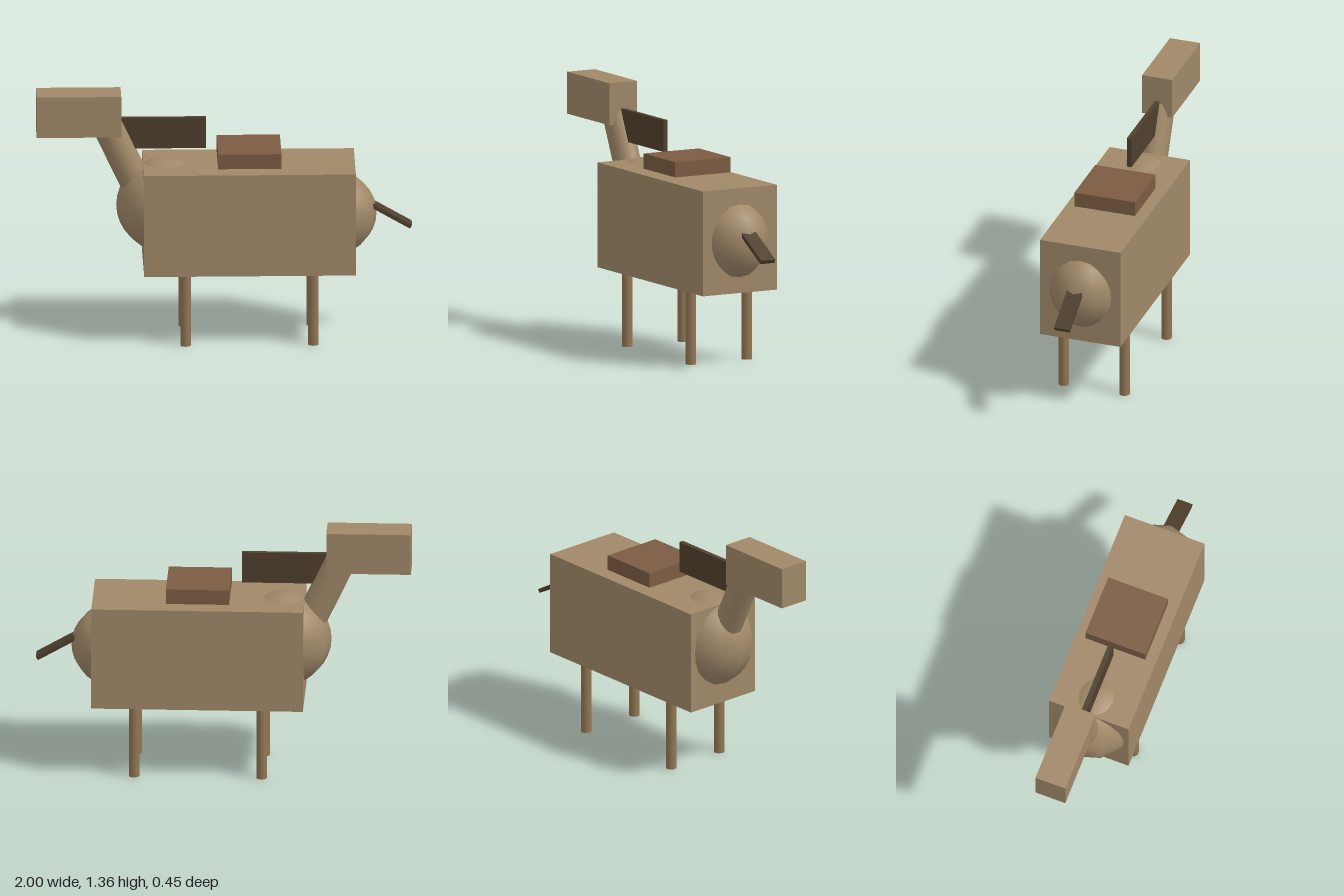
import * as THREE from 'three';

const mat = (color) => new THREE.MeshStandardMaterial({ color });

export function createModel() {
  const model = new THREE.Group();
  const coat = mat(0xa08868);
  const legCoat = mat(0x917654);
  const hair = mat(0x4f3f2d);
  const leather = mat(0x7c5c43);

  const add = (name, geometry, material, x, y, z = 0, tilt = 0) => {
    const mesh = new THREE.Mesh(geometry, material);
    mesh.name = name;
    mesh.position.set(x, y, z);
    mesh.rotation.z = tilt;
    model.add(mesh);
    return mesh;
  };
  const box = (w, h, d) => new THREE.BoxGeometry(w, h, d);
  // round muscle masses, slightly narrower across the body
  const ball = (r) => new THREE.SphereGeometry(r, 12, 16).scale(1, 1, 0.88);

  // trunk with chest and rump bulging out of it
  add('body', box(1.127, 0.565, 0.454), coat, 0.132, 0.683);
  add('chest', ball(0.255), coat, -0.32, 0.735);
  add('rump', ball(0.226), coat, 0.585, 0.682);

  // neck leans forward and its rim just reaches the top of the head
  const neckTilt = THREE.MathUtils.degToRad(25);
  const neck = new THREE.CylinderGeometry(0.083, 0.083, 0.6, 16).scale(1, 1, 0.88);
  add('neck', neck, coat, -0.565, 1.058, 0, neckTilt);
  add('head', box(0.45, 0.226, 0.17), coat, -0.775, 1.25);

  // mane and tail are thin slabs
  add('mane', box(0.453, 0.17, 0.026), hair, -0.3235, 1.136);
  add('tail', box(0.28, 0.022, 0.086), hair, 0.872, 0.68, 0, -Math.PI / 6);

  add('saddle', box(0.337, 0.082, 0.34), leather, 0.132, 1.023);

  // four legs
  for (const x of [-0.21, 0.47]) {
    for (const z of [-0.171, 0.171]) {
      const name = (x < 0 ? 'front' : 'hind') + 'Leg';
      add(name, new THREE.CylinderGeometry(0.028, 0.028, 0.42, 16), legCoat, x, 0.21, z);
    }
  }
  return model;
}
